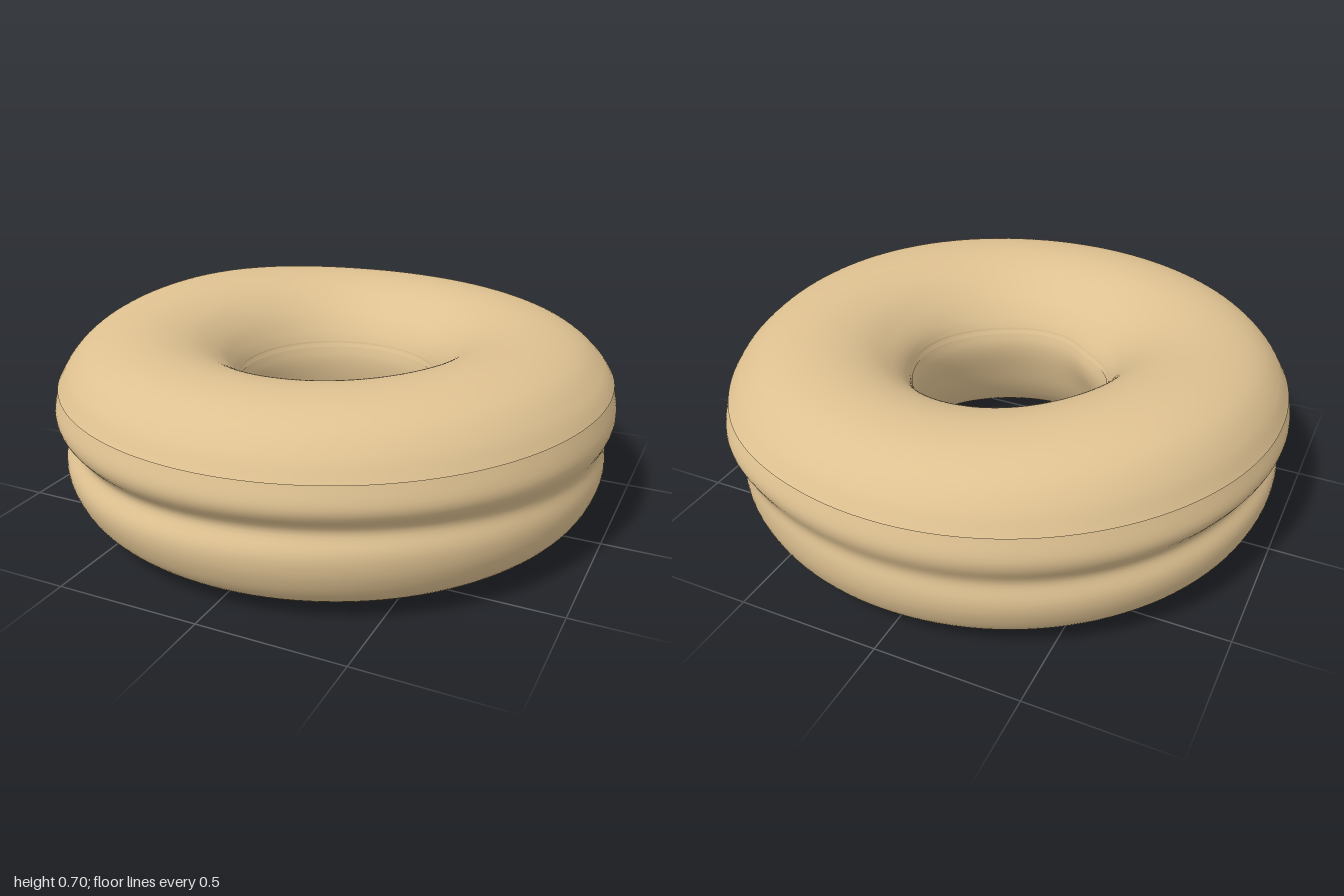
import * as THREE from 'three';
import { ParametricGeometry } from 'three/addons/geometries/ParametricGeometry.js';

const curve = pts => new THREE.CatmullRomCurve3(pts.map(([r, y]) => new THREE.Vector3(r, y, 0)));

// Cross-sections as [radius, height]
const doughProfile = curve([
  [0.36, 0.47], [0.347, 0.4], [0.36, 0.3], [0.4, 0.18], [0.47, 0.08], [0.57, 0.02], [0.68, 0],
  [0.75, 0.006], [0.85, 0.04], [0.925, 0.1], [0.965, 0.18], [0.978, 0.27], [0.985, 0.34],
  [0.995, 0.42], [0.972, 0.5],
]);
const glazeProfile = curve([
  [0.98, 0.492], [0.94, 0.555], [0.88, 0.61], [0.8, 0.645], [0.7, 0.66],
  [0.6, 0.652], [0.5, 0.618], [0.42, 0.56], [0.375, 0.5], [0.353, 0.45],
]);

// Smooth bump around an angle (0 = front, positive towards +x)
const lobe = (a, centre, width) => Math.exp((Math.cos(a - centre) - 1) / (width * width));
const bell = (v, centre, width) => Math.exp(-(((v - centre) / width) ** 2));

// Sweep a profile round the ring, with hand-made unevenness
function ring(profile, name, material) {
  const p = new THREE.Vector3();
  const geometry = new ParametricGeometry((u, v, target) => {
    const a = u * Math.PI * 2;
    profile.getPoint(v, p);
    let r = p.x, y = p.y;

    // groove round the waist, fading towards the back right
    if (r > 0.9) {
      const fade = 0.55 + 0.45 * Math.cos(a + 0.75);
      r -= (0.012 + 0.033 * fade) * bell(y, 0.32 + 0.01 * Math.sin(3 * a), 0.05);
      r += 0.02 * lobe(a, 2.45, 0.22) * bell(y, 0.44, 0.1);
      r -= 0.02 * lobe(a, 2.1, 0.15) * bell(y, 0.25, 0.08);
    }
    // dents in the hole
    const inner = THREE.MathUtils.clamp((0.55 - r) / 0.2, 0, 1) * bell(y, 0.42, 0.16);
    r -= inner * (0.035 * lobe(a, -0.65, 0.28) + 0.02 * lobe(a, 0.6, 0.45));

    // uneven top
    const lift = THREE.MathUtils.smoothstep(y, 0.42, 0.66);
    y += lift * (0.035 * lobe(a, -2.05, 0.5) + 0.014 * lobe(a, 1.1, 0.5));
    y += 0.015 * lobe(a, 1.7, 0.5) * bell(y, 0.5, 0.06);

    target.set(r * Math.sin(a), y, r * Math.cos(a));
  }, 128, 72);
  const mesh = new THREE.Mesh(geometry, material);
  mesh.name = name;
  return mesh;
}

export function createModel() {
  const group = new THREE.Group();
  group.name = 'doughnut';
  const material = new THREE.MeshStandardMaterial({ color: 0xdec191, side: THREE.DoubleSide });
  group.add(ring(doughProfile, 'dough', material));
  group.add(ring(glazeProfile, 'glaze', material));
  return group;
}
